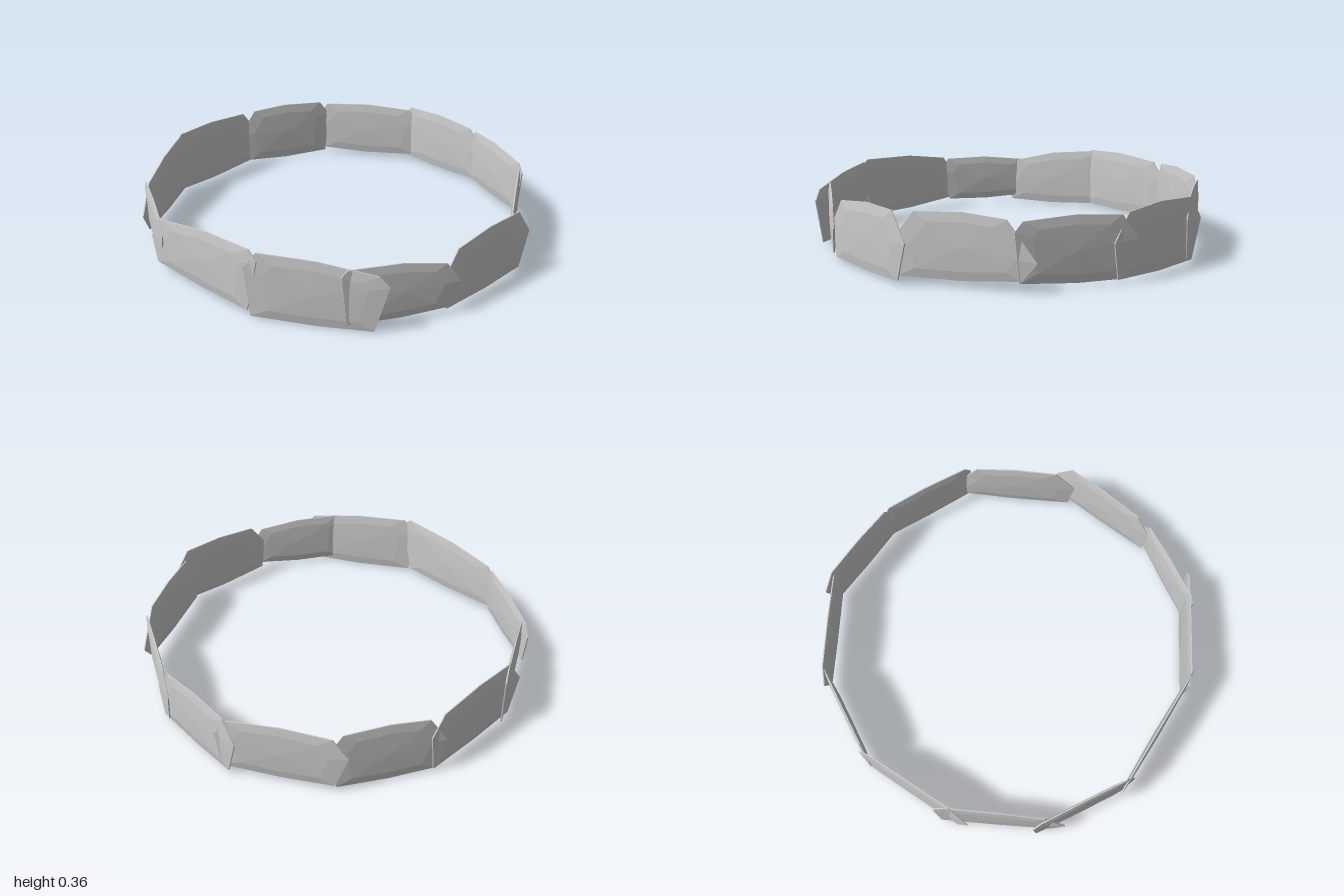
import * as THREE from 'three';
import { ConvexGeometry } from 'three/addons/geometries/ConvexGeometry.js';

// Per slab: plan start x, z and end x, z, then heights of
// top (start, end), end tips (start, end) and bottom (start, end)
const SLABS = [
  [-0.23, 0.955, 0.43, 0.945, 0.355, 0.3, 0.28, 0.25, 0.025, 0.015],
  [0.22, 0.97, 0.71, 0.705, 0.32, 0.28, 0.29, 0.18, 0.04, 0.05],
  [0.64, 0.74, 0.99, 0.22, 0.32, 0.345, 0.2, 0.21, 0.03, 0.03],
  [0.905, 0.32, 0.915, -0.36, 0.34, 0.33, 0.2, 0.145, 0.04, 0.06],
  [0.93, -0.26, 0.6, -0.74, 0.325, 0.325, 0.28, 0.21, 0.05, 0.03],
  [0.69, -0.65, 0.17, -0.97, 0.33, 0.34, 0.2, 0.23, 0.03, 0.03],
  [0.29, -0.92, -0.35, -0.905, 0.325, 0.33, 0.24, 0.23, 0.04, 0.045],
  [-0.27, -0.91, -0.74, -0.62, 0.345, 0.34, 0.27, 0.2, 0.03, 0.03],
  [-0.68, -0.68, -1, -0.11, 0.34, 0.36, 0.24, 0.22, 0.03, 0.03],
  [-0.95, -0.28, -0.955, 0.37, 0.355, 0.28, 0.3, 0.14, 0.03, 0.03],
  [-1, 0.21, -0.71, 0.7, 0.28, 0.3, 0.22, 0.23, 0.06, 0.05],
  [-0.79, 0.635, -0.16, 0.97, 0.31, 0.365, 0.2, 0.32, 0.06, 0.04],
];

// Rough stone outline as [fraction along, height]: the further an end tip
// drops below the top, the wider its corner is cut
function slabOutline(topA, topB, tipA, tipB, bottomA, bottomB) {
  return [
    [0, tipA],
    [0.02 + topA - tipA, topA],
    [0.5, (topA + topB) / 2 + 0.015],
    [0.98 - topB + tipB, topB],
    [1, tipB],
    [0.9, bottomB],
    [0.5, (bottomA + bottomB) / 2 - 0.01],
    [0.04, bottomA],
  ];
}

// Thin stone: sharp rim, thicker inset faces and a slightly raised middle
function slabGeometry([ax, az, bx, bz, ...heights]) {
  const start = new THREE.Vector3(ax, 0, az);
  const along = new THREE.Vector3(bx - ax, 0, bz - az);
  const normal = new THREE.Vector3(-along.z, 0, along.x).normalize();
  const place = (u, y, d) => start.clone().addScaledVector(along, u).addScaledVector(normal, d).setY(y);

  const centreY = (heights[0] + heights[1] + heights[4] + heights[5]) / 4;
  const points = [];
  for (const side of [-1, 1]) {
    for (const [u, y] of slabOutline(...heights)) {
      points.push(place(u, y, side * 0.003));
      points.push(place(THREE.MathUtils.lerp(0.5, u, 0.72), THREE.MathUtils.lerp(centreY, y, 0.72), side * 0.01));
    }
    points.push(place(0.5, centreY, side * 0.014));
  }
  return new ConvexGeometry(points);
}

export function createModel() {
  const group = new THREE.Group();
  group.name = 'stoneRing';
  const material = new THREE.MeshStandardMaterial({ color: 0xcccccc, flatShading: true });

  // Overlapping slabs set around the ring
  SLABS.forEach((slab, i) => {
    const mesh = new THREE.Mesh(slabGeometry(slab), material);
    mesh.name = `stoneSlab${i + 1}`;
    group.add(mesh);
  });
  return group;
}
